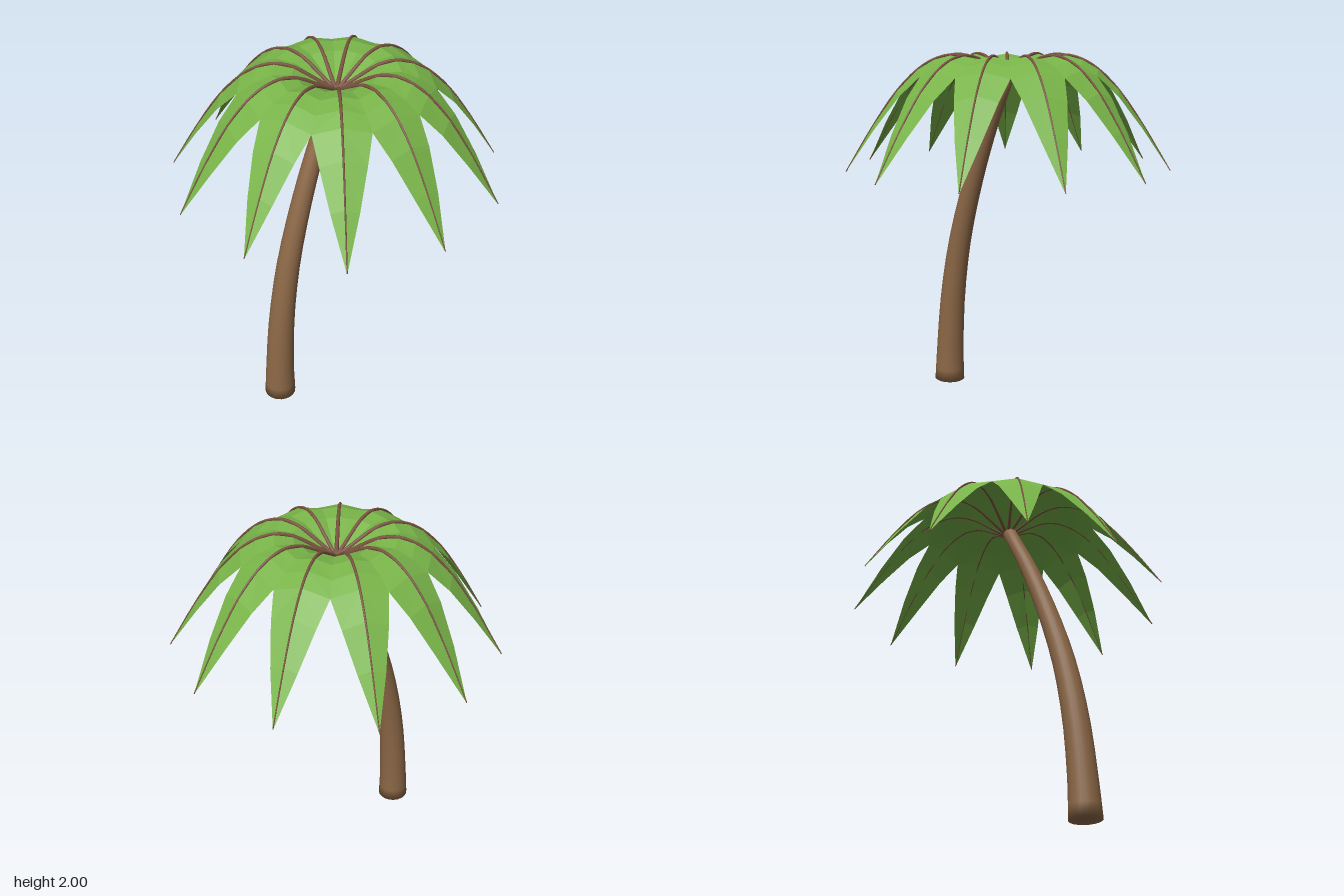
import * as THREE from 'three';
import { mergeVertices } from 'three/addons/utils/BufferGeometryUtils.js';

const FRONDS = 11;
const STEP = (Math.PI * 2) / FRONDS;
const WEDGE = Math.tan(STEP / 2);

function material(name, color, extra = {}) {
  const m = new THREE.MeshStandardMaterial({ color, ...extra });
  m.name = name;
  return m;
}

// Round tube along a curve with a varying radius, closed ends, smooth normals
function taperedTube(curve, radiusAt, rows, sides) {
  const geo = new THREE.CylinderGeometry(1, 1, 1, sides, rows);
  const pos = geo.attributes.position;
  const side = new THREE.Vector3(0, 0, 1);
  for (let i = 0; i < pos.count; i++) {
    const t = THREE.MathUtils.clamp(pos.getY(i) + 0.5, 0, 1);
    const tangent = curve.getTangent(t);
    const across = new THREE.Vector3().crossVectors(tangent, side);
    const r = radiusAt(t);
    const p = curve.getPoint(t)
      .addScaledVector(across, pos.getX(i) * r)
      .addScaledVector(side, pos.getZ(i) * r);
    pos.setXYZ(i, p.x, p.y, p.z);
  }
  geo.deleteAttribute('uv');
  geo.deleteAttribute('normal');
  const merged = mergeVertices(geo, 1e-5);
  merged.computeVertexNormals();
  return merged;
}

// Frond rows: distance out, rib height, edge half width, edge drop
const ROWS = [
  [0.01, 1.85, 0.01 * WEDGE, 0],
  [0.1, 1.905, 0.1 * WEDGE, 0.005],
  [0.22, 1.972, 0.22 * WEDGE, 0.01],
  [0.32, 1.988, 0.32 * WEDGE, 0.018],
  [0.41, 1.965, 0.41 * WEDGE, 0.028],
  [0.495, 1.915, 0.495 * WEDGE, 0.032],
  [0.61, 1.803, 0.116, 0.03],
  [0.745, 1.615, 0.07, 0.02],
  [0.902, 1.36, 0.001, 0],
];

// Leaf blade folded along its rib
function bladeGeometry() {
  const v = [];
  const rib = ([x, y]) => [x, y, 0];
  const edge = ([x, y, w, d], s) => [x, y - d, w * s];
  for (let i = 0; i < ROWS.length - 1; i++) {
    const a = ROWS[i], b = ROWS[i + 1];
    const [r0, r1] = [rib(a), rib(b)];
    const [p0, p1] = [edge(a, 1), edge(b, 1)];
    const [n0, n1] = [edge(a, -1), edge(b, -1)];
    v.push(...r0, ...p0, ...p1, ...r0, ...p1, ...r1);
    v.push(...r0, ...n1, ...n0, ...r0, ...r1, ...n1);
  }
  const geo = new THREE.BufferGeometry();
  geo.setAttribute('position', new THREE.Float32BufferAttribute(v, 3));
  geo.computeVertexNormals();
  return geo;
}

export function createModel() {
  const model = new THREE.Group();
  model.name = 'palmTree';
  const bark = material('bark brown', 0x8b6746);
  const ribBrown = material('rib brown', 0x7c5441);
  const leaf = material('leaf green', 0x78b348, { flatShading: true, side: THREE.DoubleSide });

  // Leaning trunk
  const trunkPath = new THREE.CatmullRomCurve3([
    [-0.49, 0.005], [-0.483, 0.2], [-0.453, 0.55], [-0.39, 0.9],
    [-0.29, 1.24], [-0.165, 1.57], [-0.03, 1.86],
  ].map(([x, y]) => new THREE.Vector3(x, y, 0)));
  const trunk = new THREE.Mesh(
    taperedTube(trunkPath, (t) => 0.09 - 0.05 * t, 16, 20), bark);
  trunk.name = 'trunk';
  model.add(trunk);

  // Crown of drooping fronds
  const crown = new THREE.Group();
  crown.name = 'crown';
  crown.position.x = -0.018;
  const blade = bladeGeometry();
  const ribPath = new THREE.CatmullRomCurve3(
    ROWS.map(([x, y]) => new THREE.Vector3(x, y + 0.002, 0)));
  const ribGeo = taperedTube(ribPath, (t) => 0.012 - 0.009 * t, 24, 6);
  for (let i = 0; i < FRONDS; i++) {
    const frond = new THREE.Group();
    frond.name = 'frond';
    frond.rotation.y = i * STEP;
    const bladeMesh = new THREE.Mesh(blade, leaf);
    bladeMesh.name = 'frondBlade';
    const ribMesh = new THREE.Mesh(ribGeo, ribBrown);
    ribMesh.name = 'frondRib';
    frond.add(bladeMesh, ribMesh);
    crown.add(frond);
  }
  model.add(crown);
  return model;
}
